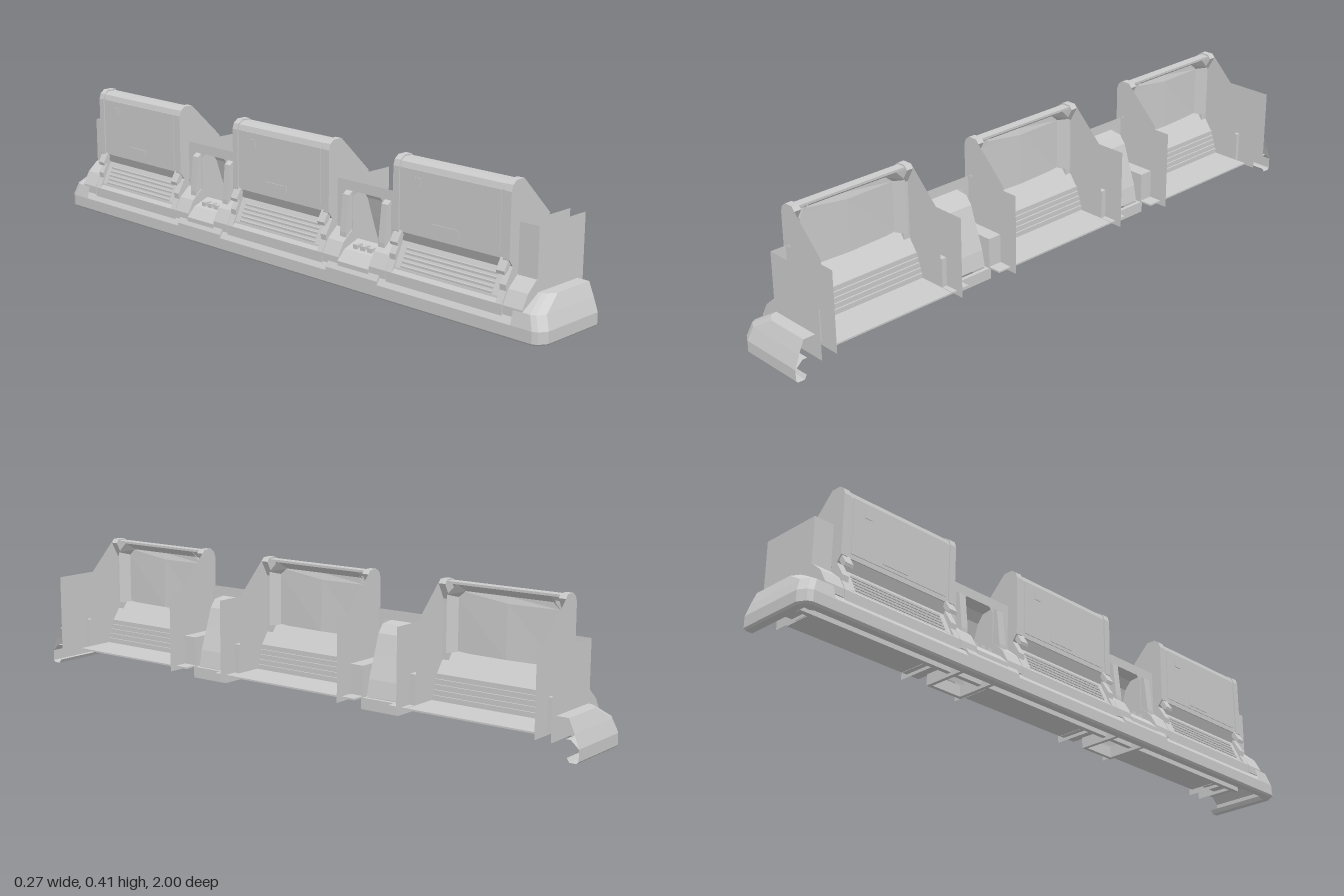
import * as THREE from 'three';

const mat = new THREE.MeshStandardMaterial({ color: 0xcccccc, flatShading: true, side: THREE.DoubleSide });

function add(parent, name, geo) {
  const m = new THREE.Mesh(geo, mat);
  m.name = name;
  parent.add(m);
  return m;
}

const shapeOf = (pts) => new THREE.Shape(pts.map(([x, y]) => new THREE.Vector2(x, y)));

// Solid bar: a cross-section in x,y run along z
function bar(parent, name, pts, z0, z1) {
  const g = new THREE.ExtrudeGeometry(shapeOf(pts), { depth: z1 - z0, bevelEnabled: false });
  return add(parent, name, g.translate(0, 0, z0));
}

// Flat sheet facing along z
const sheet = (parent, name, pts, z) =>
  add(parent, name, new THREE.ShapeGeometry(shapeOf(pts)).translate(0, 0, z));

// Skin between rows of points, each row the same length
function skin(parent, name, rows) {
  const n = rows[0].length, index = [];
  for (let r = 0; r < rows.length - 1; r++)
    for (let i = 0; i < n - 1; i++) {
      const a = r * n + i, b = a + n;
      index.push(a, a + 1, b, b, a + 1, b + 1);
    }
  const g = new THREE.BufferGeometry();
  g.setAttribute('position', new THREE.Float32BufferAttribute(rows.flat(2), 3));
  g.setIndex(index);
  g.computeVertexNormals();
  return add(parent, name, g);
}

// Open folded strip: a line in x,y run along z
const strip = (parent, name, pts, z0, z1) =>
  skin(parent, name, [z0, z1].map((z) => pts.map(([x, y]) => [x, y, z])));

function box(parent, name, x0, x1, y0, y1, z0, z1) {
  const g = new THREE.BoxGeometry(x1 - x0, y1 - y0, z1 - z0);
  return add(parent, name, g.translate((x0 + x1) / 2, (y0 + y1) / 2, (z0 + z1) / 2));
}

const HALF = 0.205; // half width of a bay

const PILLAR = [[-0.101, 0.2], [-0.101, 0.385], [-0.095, 0.403], [-0.08, 0.414], [-0.05, 0.414],
  [-0.04, 0.402], [-0.066, 0.355], [-0.066, 0.172], [-0.06, 0.155], [-0.09, 0.07], [-0.127, 0.07],
  [-0.127, 0.085], [-0.11, 0.118], [-0.112, 0.135], [-0.085, 0.18]];
const SIDE = [[-0.09, 0.4], [-0.05, 0.414], [0.066, 0.3], [0.066, 0.065], [-0.06, 0.065], [-0.066, 0.17]];
const HOOD = [[-0.097, 0.2], [-0.097, 0.385], [-0.092, 0.401], [-0.079, 0.41], [-0.05, 0.41],
  [-0.05, 0.403], [-0.076, 0.401], [-0.087, 0.385], [-0.087, 0.2]];
const FIN = [[-0.066, 0.05], [0.136, 0.05], [0.136, 0.3], [-0.066, 0.3]];
const LEDGE = [[-0.127, 0.06], [-0.127, 0.085], [-0.105, 0.125], [-0.07, 0.155], [0.07, 0.155], [0.07, 0.06]];
const CLAMP = [[-0.096, 0.205], [-0.116, 0.172], [-0.113, 0.162], [-0.1, 0.17], [-0.085, 0.195]];

function bay() {
  const g = new THREE.Group();
  g.name = 'bay';
  bar(g, 'screenPanel', HOOD, -HALF + 0.02, HALF - 0.02);
  box(g, 'screenPlate', -0.099, -0.096, 0.215, 0.385, -0.17, 0.17);
  // small fittings on the outer panel
  box(g, 'panelHatch', -0.101, -0.098, 0.34, 0.365, -0.13, -0.105);
  box(g, 'panelHatch', -0.101, -0.098, 0.225, 0.245, -0.06, 0.03);
  for (const s of [-1, 1]) {
    const za = s > 0 ? HALF - 0.022 : -HALF;
    bar(g, 'pillar', PILLAR, za, za + 0.022);
    sheet(g, 'sideWall', SIDE, s * (HALF + 0.001));
    bar(g, 'pillarClamp', CLAMP, s * 0.187 - 0.014, s * 0.187 + 0.014);
    // sloping inner border, with the upper corners cut across
    skin(g, 'innerBevel', [
      [[-0.05, 0.37, s * 0.183], [-0.05, 0.2, s * 0.183]],
      [[-0.086, 0.36, s * 0.165], [-0.086, 0.2, s * 0.165]]]);
    skin(g, 'innerCorner', [
      [[-0.05, 0.404, s * 0.15], [-0.05, 0.37, s * 0.183]],
      [[-0.086, 0.38, s * 0.14], [-0.086, 0.36, s * 0.165]]]);
  }
  strip(g, 'innerTopBevel', [[-0.052, 0.404], [-0.086, 0.38]], -0.15, 0.15);
  // inner screen, raised to a soft point in the middle
  skin(g, 'innerScreen', [-0.165, 0, 0.165].map((z) =>
    [[-0.085, 0.38, z], [z ? -0.085 : -0.08, 0.36, z], [z ? -0.085 : -0.077, 0.2, z]]));
  strip(g, 'innerSill', [[-0.087, 0.205], [-0.04, 0.14]], -HALF, HALF);
  // stepped slats down to the floor
  const steps = [];
  for (let i = 0; i <= 5; i++) {
    const x = -0.04 + i * 0.005, y = 0.14 - i * 0.015;
    steps.push([x, y], [x + 0.005, y]);
  }
  strip(g, 'innerSteps', steps, -HALF, HALF);
  box(g, 'floor', -0.02, 0.112, 0.06, 0.065, -HALF, HALF);
  // outer vent slope
  strip(g, 'ventSlope', [[-0.096, 0.205], [-0.08, 0.17], [-0.113, 0.1], [-0.122, 0.06]], -HALF + 0.02, HALF - 0.02);
  for (let i = 0; i < 5; i++) {
    const y = 0.105 + i * 0.012, x = -0.111 + i * 0.0057;
    box(g, 'ventSlat', x - 0.004, x + 0.003, y - 0.003, y + 0.003, -0.16, 0.16);
  }
  bar(g, 'lowerSill', [[-0.127, 0.05], [-0.127, 0.085], [-0.116, 0.095], [-0.108, 0.085], [-0.108, 0.05]], -HALF, HALF);
  return g;
}

function gap() {
  const g = new THREE.Group();
  g.name = 'gap';
  const w = 0.06, W = 0.122;
  // back plate with an arched opening, turned to face along x
  const plate = shapeOf([[-W, 0.05], [W, 0.05], [W, 0.3], [-W, 0.3]]);
  plate.holes.push(new THREE.Path([[-w, 0.06], [-w, 0.255], [-w + 0.015, 0.27], [w - 0.015, 0.27], [w, 0.255], [w, 0.06]]
    .map(([x, y]) => new THREE.Vector2(x, y))));
  add(g, 'backPlate', new THREE.ShapeGeometry(plate).rotateY(-Math.PI / 2).translate(-0.066, 0, 0));
  const niche = [[-0.066, 0.27], [-0.025, 0.265], [-0.005, 0.24], [0.015, 0.18], [0.04, 0.11], [0.05, 0.06]];
  strip(g, 'nicheWall', niche, -w, w);
  bar(g, 'console', [[-0.13, 0.05], [-0.13, 0.075], [-0.1, 0.105], [-0.045, 0.125], [-0.01, 0.09], [-0.01, 0.05]], -w, w);
  for (let i = 0; i < 3; i++)
    box(g, 'consoleKey', -0.09, -0.065, 0.108, 0.122, -0.037 + i * 0.028, -0.02 + i * 0.028);
  for (const s of [-1, 1]) {
    sheet(g, 'nicheSide', [...niche, [-0.066, 0.06]], s * w);
    const za = s > 0 ? w : -W;
    bar(g, 'ledge', LEDGE, za, za + W - w);
    box(g, 'ledgeFloor', 0.06, 0.112, 0.06, 0.065, za, za + W - w);
    bar(g, 'nichePost', [[-0.092, 0.12], [-0.092, 0.15], [-0.08, 0.26], [-0.066, 0.27], [-0.06, 0.12]],
      s * 0.075 - 0.012, s * 0.075 + 0.012);
    sheet(g, 'fin', FIN, s * 0.105);
    box(g, 'underBracket', -0.1, 0.07, 0.025, 0.06, s * w - 0.006, s * w + 0.006);
  }
  box(g, 'underBracketEnd', 0.058, 0.07, 0.025, 0.06, -w, w);
  // thicker guard on the skirt
  bar(g, 'skirtGuard', [[-0.137, 0.012], [-0.137, 0.05], [-0.125, 0.07], [-0.11, 0.07], [-0.11, 0.012]], -0.1, 0.1);
  return g;
}

function endCap(s) {
  const g = new THREE.Group();
  g.name = 'endCap';
  // cap shell leaning inwards toward its top, with a cut outer corner
  const level = (y, z, x) => [[0.112, y, z], [x + 0.032, y, z], [x + 0.007, y, z - 0.015], [x, y, z - 0.03], [x, y, 0.9]];
  const top = level(0.12, 0.968, -0.06);
  skin(g, 'capShell', [level(0.04, 1, -0.137), level(0.08, 0.985, -0.127), top, top.map(([x, y]) => [x, y, 0.93])]);
  bar(g, 'ledge', LEDGE, 0.866, 0.93);
  skin(g, 'backPlate', [[[-0.066, 0.05, 0.866], [-0.066, 0.3, 0.866]], [[-0.066, 0.05, 0.93], [-0.066, 0.3, 0.93]]]);
  for (const z of [0.88, 0.93]) sheet(g, 'fin', FIN, z);
  g.scale.z = s;
  return g;
}

export function createModel() {
  const root = new THREE.Group();
  root.name = 'barrier';

  // U-shaped skirt, open on the inner side; d insets the long side, e the ends
  const ring = (y, d, e = d) => [[0.112, 1 - e], [-0.105, 1 - e], [-0.13 + d, 0.985 - e], [-0.137 + d, 0.97 - e],
    [-0.137 + d, -0.97 + e], [-0.13 + d, -0.985 + e], [-0.105, -1 + e], [0.112, -1 + e]].map(([x, z]) => [x, y, z]);
  skin(root, 'skirt', [ring(0.012, 0.035), ring(0, 0.028), ring(0, 0.006), ring(0.006, 0), ring(0.04, 0),
    ring(0.062, 0.015, 0.025), ring(0.062, 0.04)]);

  // lengthwise rails and deck below the bays
  box(root, 'deck', -0.115, -0.02, 0.052, 0.058, -0.94, 0.94);
  box(root, 'rail', -0.1, -0.085, 0.03, 0.054, -0.93, 0.93);
  box(root, 'rail', -0.03, -0.015, 0.035, 0.06, -0.93, 0.93);

  for (const z of [-0.658, 0, 0.658]) {
    const b = bay();
    b.position.z = z;
    root.add(b);
  }
  for (const s of [-1, 1]) {
    const n = gap();
    n.position.z = s * 0.329;
    root.add(n, endCap(s));
  }
  return root;
}
